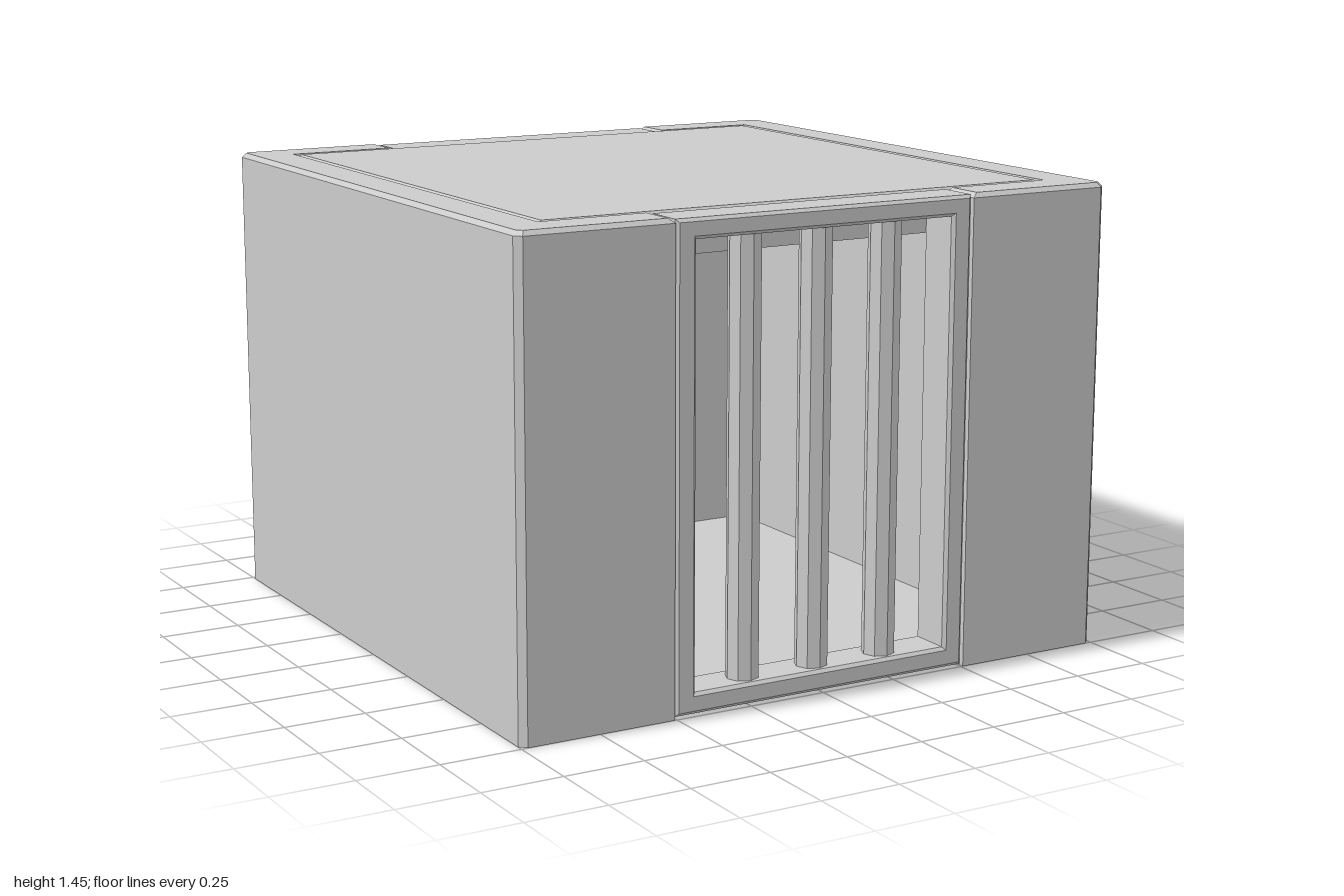
import * as THREE from 'three';

const material = new THREE.MeshStandardMaterial({ color: 0xcccccc, flatShading: true, side: THREE.DoubleSide });

function addMesh(parent, name, geometry, x = 0, y = 0, z = 0) {
  const mesh = new THREE.Mesh(geometry, material);
  mesh.name = name;
  mesh.position.set(x, y, z);
  parent.add(mesh);
  return mesh;
}

// Joins horizontal [x, z] outlines stacked at given heights, with optional caps.
function stack(levels, capBottom) {
  const positions = [];
  const put = (p, y) => positions.push(p[0], y, p[1]);
  for (let l = 0; l < levels.length - 1; l++) {
    const [low, y0] = levels[l], [high, y1] = levels[l + 1];
    for (let i = 0; i < low.length; i++) {
      const j = (i + 1) % low.length;
      put(low[i], y0); put(low[j], y0); put(high[j], y1);
      put(low[i], y0); put(high[j], y1); put(high[i], y1);
    }
  }
  const cap = ([ring, y], flip) => {
    const contour = ring.map(([x, z]) => new THREE.Vector2(x, -z));
    for (const face of THREE.ShapeUtils.triangulateShape(contour, [])) {
      if (flip) face.reverse();
      face.forEach((i) => put(ring[i], y));
    }
  };
  cap(levels[levels.length - 1], false);
  if (capBottom) cap(levels[0], true);
  const geometry = new THREE.BufferGeometry();
  geometry.setAttribute('position', new THREE.Float32BufferAttribute(positions, 3));
  geometry.computeVertexNormals();
  return geometry;
}

// C-shaped plan of a side wall: e end, o outer face, c chamfer start, n inner face
const wallPlan = (e, o, c, n) => [
  [e, o], [c, o], [o, c], [o, -c], [c, -o], [e, -o],
  [e, -n], [n, -n], [n, n], [e, n],
];
const square = (r) => [[-r, r], [r, r], [r, -r], [-r, -r]];

// Rectangle path given by half width, bottom and top
function rectangle(path, w, y0, y1) {
  path.moveTo(-w, y0);
  path.lineTo(w, y0);
  path.lineTo(w, y1);
  path.lineTo(-w, y1);
  path.closePath();
  return path;
}

// Bevelled window frame with three eight-sided bars
function createWindow() {
  const group = new THREE.Group();
  const shape = rectangle(new THREE.Shape(), 0.503, 0.006, 1.446);
  shape.holes.push(rectangle(new THREE.Path(), 0.435, 0.07, 1.385));
  const frame = new THREE.ExtrudeGeometry(shape, {
    depth: 0.125, bevelEnabled: true, bevelThickness: 0.01,
    bevelSize: 0.01, bevelOffset: -0.01, bevelSegments: 1,
  });
  addMesh(group, 'windowFrame', frame, 0, 0, 0.863);
  for (const x of [-0.24, 0, 0.24]) {
    addMesh(group, 'windowBar', new THREE.CylinderGeometry(0.05, 0.05, 1.33, 8), x, 0.7275, 0.93);
  }
  return group;
}

export function createModel() {
  const model = new THREE.Group();
  model.name = 'barredBlock';

  // Side walls, hollow and open underneath, with a bevelled top
  const base = wallPlan(0.507, 1, 0.98, 0.862);
  const wall = stack([[base, 0], [base, 1.436], [wallPlan(0.525, 0.987, 0.973, 0.866), 1.45]], false);
  addMesh(model, 'leftWall', wall);
  addMesh(model, 'rightWall', wall).rotation.y = Math.PI;

  // Front and back windows
  const front = createWindow();
  front.name = 'frontWindow';
  const back = createWindow();
  back.name = 'backWindow';
  back.rotation.y = Math.PI;
  model.add(front, back);

  // Thick bevelled roof slab and thin floor
  addMesh(model, 'roof', stack([[square(0.86), 1.32], [square(0.86), 1.435], [square(0.845), 1.45]], true));
  addMesh(model, 'floor', new THREE.BoxGeometry(1.72, 0.01, 1.72), 0, 0.005, 0);

  return model;
}
